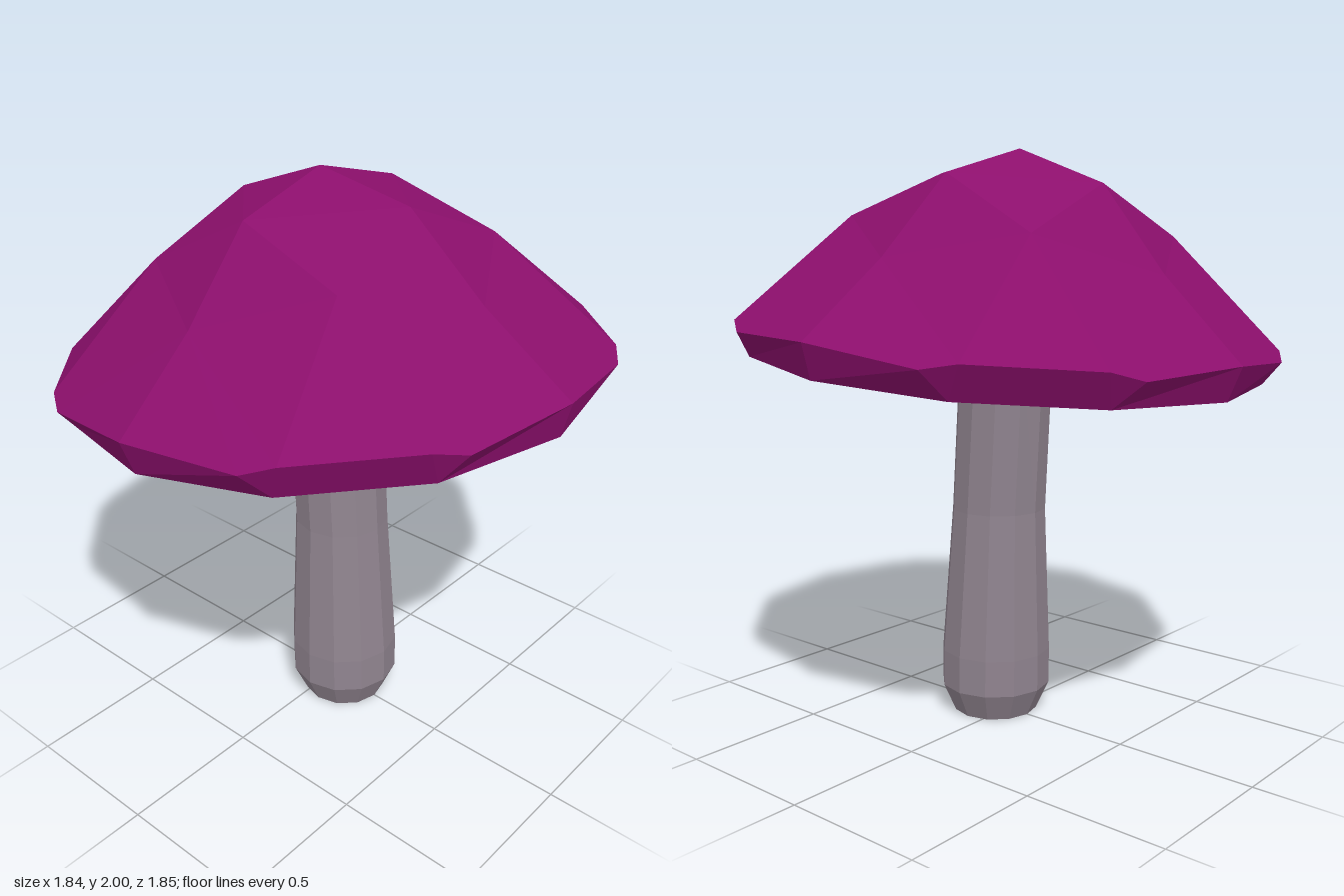
import * as THREE from 'three';

const TILT = 0.088;
const SIDES = 12;

const material = (color) => new THREE.MeshStandardMaterial({ color, flatShading: true });

function lathe(points) {
  return new THREE.LatheGeometry(points.map(([r, y]) => new THREE.Vector2(r, y)), SIDES);
}

function mesh(name, geometry, mat) {
  const m = new THREE.Mesh(geometry, mat);
  m.name = name;
  return m;
}

// Point on the cap from an angle in degrees, a radius and a height
function polar(deg, r, y) {
  const a = THREE.MathUtils.degToRad(deg);
  return [r * Math.cos(a), y, -r * Math.sin(a)];
}

// Faceted dome with a flaring rim band, built as four equal quadrants
function capGeometry() {
  const positions = [];
  const tri = (...corners) => corners.forEach((p) => positions.push(...p));
  const rim = [[0, 0.925, 0.116], [25.2, 0.94, 0.09], [32, 0.932, 0.115],
    [58, 0.932, 0.115], [64.8, 0.94, 0.09], [90, 0.925, 0.116]];

  for (let q = 0; q < 360; q += 90) {
    const apex = [0, 0.724, 0];
    const top1 = polar(q, 0.357, 0.627);
    const top2 = polar(q + 90, 0.357, 0.627);
    const corner = polar(q + 45, 0.555, 0.465);
    const mid1 = polar(q, 0.622, 0.358);
    const mid2 = polar(q + 90, 0.622, 0.358);
    const edge = rim.map(([a, r, y]) => polar(q + a, r, y));
    const base = rim.map(([a]) => polar(q + Math.round(a / 30) * 30, 0.885, 0));

    // Crown and shoulders
    tri(apex, top1, top2);
    tri(top1, corner, top2);
    tri(top1, mid1, corner);
    tri(top2, corner, mid2);
    // Slopes down to the rim
    tri(mid1, edge[0], edge[1]);
    tri(mid1, edge[1], edge[2]);
    tri(mid1, edge[2], corner);
    tri(corner, edge[2], edge[3]);
    tri(corner, edge[3], mid2);
    tri(mid2, edge[3], edge[4]);
    tri(mid2, edge[4], edge[5]);
    // Rim band, tapering inward to the twelve-sided base
    for (let i = 0; i < 5; i++) {
      tri(base[i], edge[i + 1], edge[i]);
      if (i % 2 === 0) tri(base[i], base[i + 1], edge[i + 1]);
    }
  }

  const geometry = new THREE.BufferGeometry();
  geometry.setAttribute('position', new THREE.Float32BufferAttribute(positions, 3));
  geometry.computeVertexNormals();
  return geometry;
}

// Stem: a lathe bent sideways, its neck tilted to match the cap
function stemGeometry() {
  const geometry = lathe([[0, 0], [0.152, 0], [0.197, 0.1], [0.197, 0.23],
    [0.168, 0.75], [0.165, 1.3], [0.24, 1.46]]);
  const bend = [[0, 0.06], [0.23, 0.057], [0.75, 0.042], [1.3, 0.008], [1.46, -0.006]];
  const p = geometry.attributes.position;
  for (let i = 0; i < p.count; i++) {
    const x = p.getX(i);
    const y = p.getY(i);
    const k = Math.max(1, bend.findIndex(([h]) => y <= h + 1e-4));
    const [[y0, x0], [y1, x1]] = [bend[k - 1], bend[k]];
    p.setX(i, x + THREE.MathUtils.mapLinear(y, y0, y1, x0, x1));
    if (y > 1) p.setY(i, y + x * TILT);
  }
  geometry.computeVertexNormals();
  return geometry;
}

export function createModel() {
  const model = new THREE.Group();
  model.name = 'mushroom';

  model.add(mesh('stem', stemGeometry(), material(0x90848f)));

  // Tilted head: coloured cap over a hollow underside with a flat lip
  const head = new THREE.Group();
  head.name = 'head';
  head.position.set(0.01, 1.278, 0);
  head.rotation.z = TILT;
  head.add(mesh('cap', capGeometry(), material(0x8c0f6c)));
  head.add(mesh('gills', lathe([[0.2, 0.18], [0.77, 0.005], [0.885, 0]]), material(0x878085)));
  model.add(head);

  return model;
}
